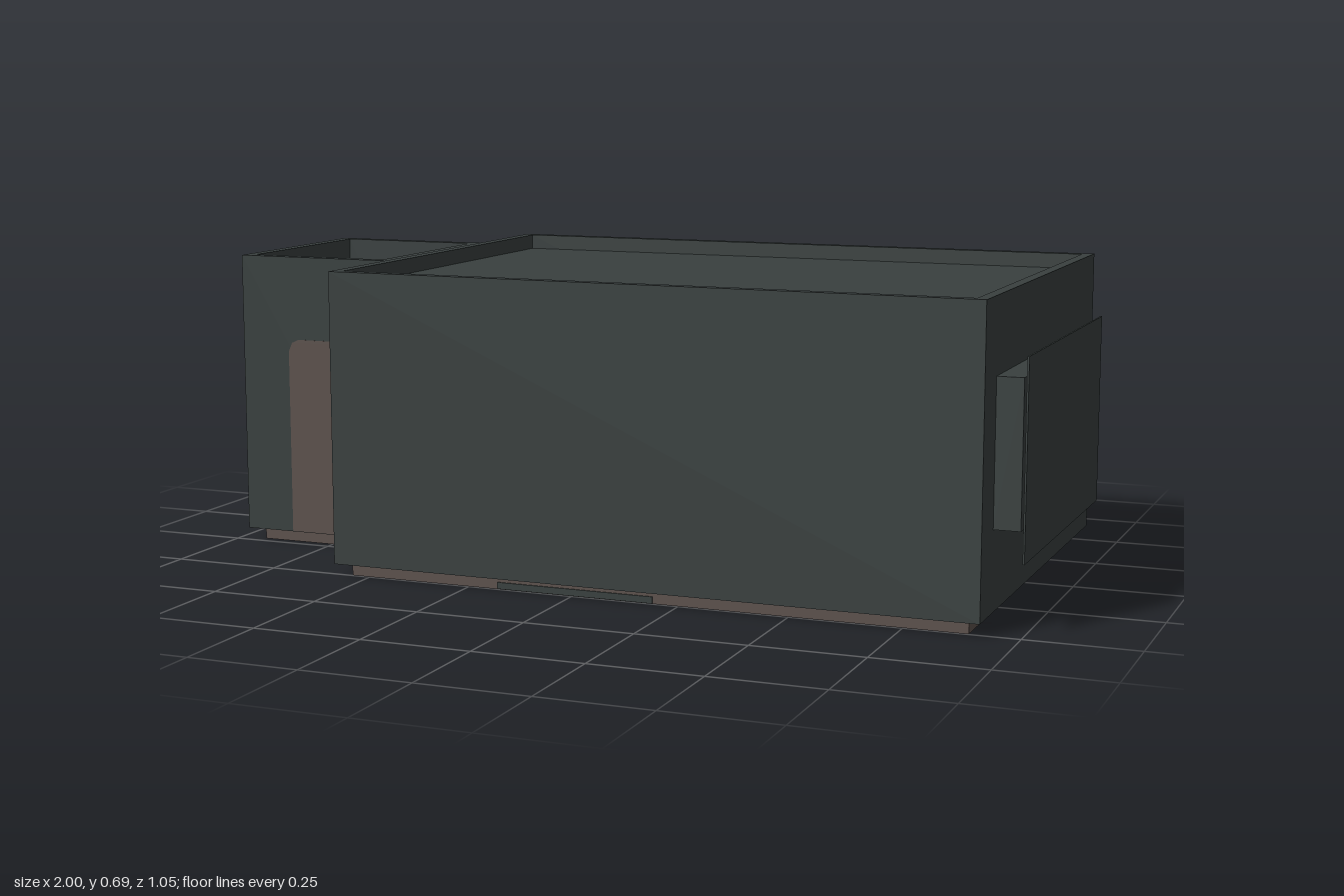
import * as THREE from 'three';

const slate = new THREE.MeshStandardMaterial({ color: 0x39403f });
slate.name = 'slate';
const brown = new THREE.MeshStandardMaterial({ color: 0x5d524d });
brown.name = 'brown';

// Box given by its minimum and maximum on each axis
function box(name, [x0, x1], [y0, y1], [z0, z1], material) {
  const mesh = new THREE.Mesh(new THREE.BoxGeometry(x1 - x0, y1 - y0, z1 - z0), material);
  mesh.position.set((x0 + x1) / 2, (y0 + y1) / 2, (z0 + z1) / 2);
  mesh.name = name;
  return mesh;
}

// Open rectangular ring of walls
function walls(name, [x0, x1], [y0, y1], [z0, z1], t) {
  const rect = (target, a, b, c, d) => target.moveTo(a, c).lineTo(b, c).lineTo(b, d).lineTo(a, d).closePath();
  const shape = rect(new THREE.Shape(), x0, x1, -z1, -z0);
  shape.holes.push(rect(new THREE.Path(), x0 + t, x1 - t, -z1 + t, -z0 - t));
  const geometry = new THREE.ExtrudeGeometry(shape, { depth: y1 - y0, bevelEnabled: false });
  geometry.rotateX(-Math.PI / 2).translate(0, y0, 0);
  const mesh = new THREE.Mesh(geometry, slate);
  mesh.name = name;
  return mesh;
}

// Thin plate drawn in the xy plane
function plate(name, points, z) {
  const shape = new THREE.Shape(points.map(([x, y]) => new THREE.Vector2(x, y)));
  const mesh = new THREE.Mesh(new THREE.ExtrudeGeometry(shape, { depth: 0.003, bevelEnabled: false }), brown);
  mesh.position.z = z;
  mesh.name = name;
  return mesh;
}

export function createModel() {
  const model = new THREE.Group();
  model.name = 'building';
  const add = (...parts) => model.add(...parts);

  // Base slabs: brown edges, slate underside
  const slabMaterials = [brown, brown, slate, slate, brown, brown];
  add(box('mainBase', [-0.545, 0.89], [0, 0.04], [-0.497, 0.497], slabMaterials));
  add(box('annexBase', [-0.935, -0.545], [0, 0.04], [-0.225, 0.225], slabMaterials));
  add(box('baseCornerPatch', [-0.63, -0.546], [0.003, 0.03], [0.224, 0.228], slate));
  add(box('baseFrontPatch', [-0.18, 0.19], [0.001, 0.016], [0.496, 0.5], slate));

  // Main hall with a shallow parapet
  add(walls('mainWalls', [-0.575, 0.92], [0.03, 0.695], [-0.527, 0.527], 0.025));
  add(box('mainRoof', [-0.551, 0.896], [0.635, 0.66], [-0.503, 0.503], slate));

  // Annex with a deeper parapet
  add(walls('annexWalls', [-0.965, -0.574], [0.03, 0.694], [-0.253, 0.253], 0.025));
  add(box('annexRoof', [-0.941, -0.575], [0.565, 0.59], [-0.229, 0.229], slate));

  // Brown patches on the annex walls and roof
  add(plate('annexFrontPatch', [[-0.842, 0.031], [-0.576, 0.031], [-0.576, 0.497],
    [-0.815, 0.497], [-0.833, 0.489], [-0.842, 0.468]], 0.251));
  add(plate('annexBackPatch', [[-0.83, 0.27], [-0.576, 0.3], [-0.576, 0.692], [-0.83, 0.692]], -0.254));
  add(plate('annexInnerPatch', [[-0.775, 0.591], [-0.6, 0.591], [-0.6, 0.685], [-0.775, 0.685]], 0.226));
  const roofPatch = plate('annexRoofPatch', [[-0.842, -0.227], [-0.6, -0.227], [-0.6, 0.227],
    [-0.815, 0.227], [-0.817, -0.03]], 0);
  roofPatch.rotation.x = -Math.PI / 2;
  roofPatch.position.y = 0.589;
  add(roofPatch);

  // Annex door, and side box carrying a floating panel
  add(box('annexDoor', [-1, -0.964], [0.03, 0.525], [-0.138, 0.138], slate));
  add(box('sideBox', [0.919, 0.978], [0.208, 0.528], [-0.18, 0.43], slate));
  add(box('sidePanel', [0.996, 1], [0.152, 0.58], [-0.238, 0.487], slate));

  return model;
}
